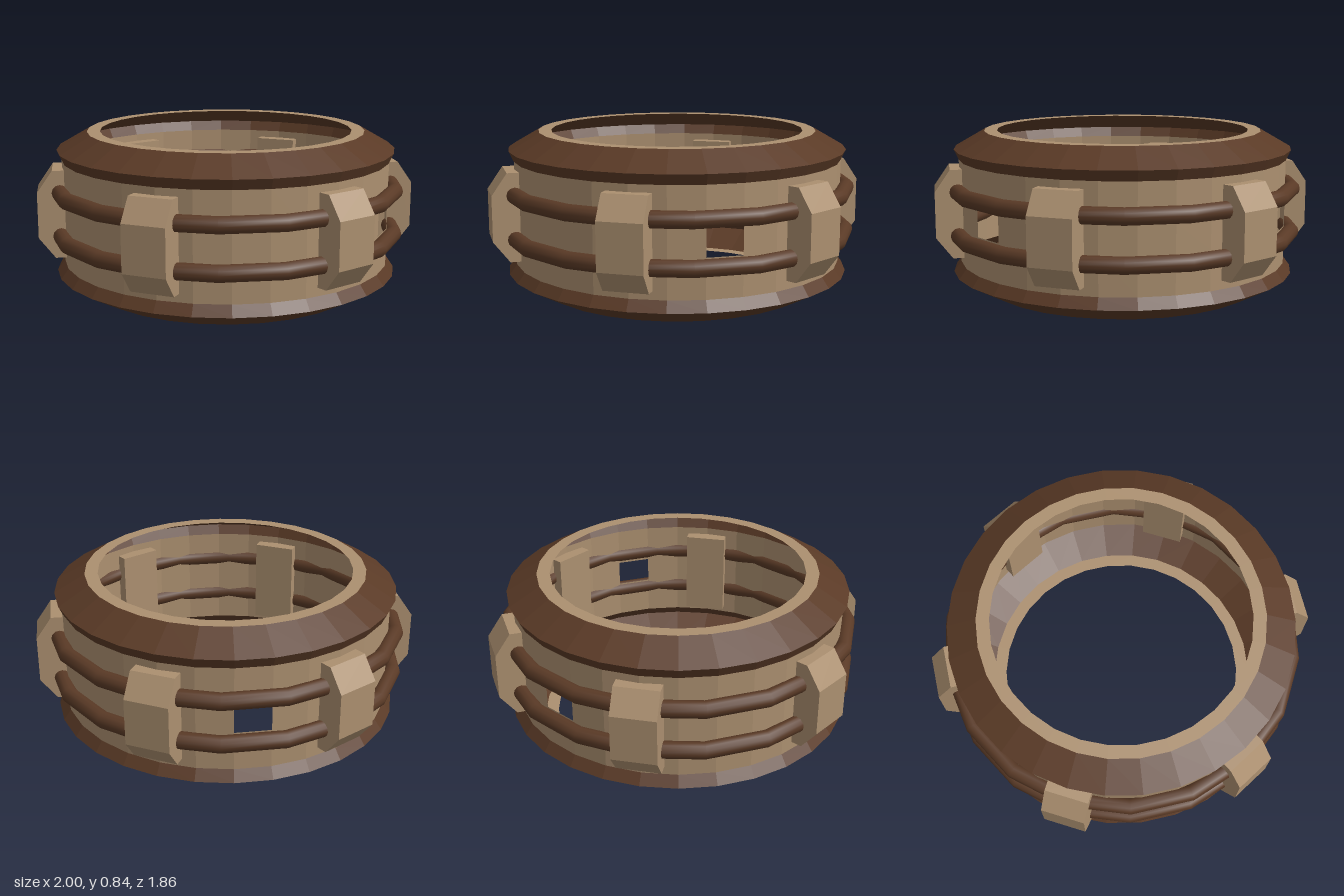
import * as THREE from 'three';

const SIDES = 30;
const STEP = (Math.PI * 2) / SIDES;
const WALL_R = 0.87;

export function createModel() {
  const tan = new THREE.MeshStandardMaterial({ color: 0xac9070, side: THREE.DoubleSide, flatShading: true });
  tan.name = 'tan';
  const brown = new THREE.MeshStandardMaterial({ color: 0x5a3a26, side: THREE.DoubleSide });
  brown.name = 'dark brown';

  const model = new THREE.Group();
  model.name = 'ring';

  const add = (name, geometry, material, parent = model) => {
    const mesh = new THREE.Mesh(geometry, material);
    mesh.name = name;
    parent.add(mesh);
    return mesh;
  };

  // Faceted band turned around y; start and count are in sides, offset so a corner lies on the x axis
  const band = (name, profile, material, start = 0, count = SIDES) => {
    const points = profile.map(([r, y]) => new THREE.Vector2(r, y));
    const geometry = new THREE.LatheGeometry(points, count, STEP * (start + 0.5), STEP * count).toNonIndexed();
    geometry.computeVertexNormals();
    return add(name, geometry, material);
  };

  // Thin wall, with two square openings towards the back
  band('lowerWall', [[WALL_R, 0.147], [WALL_R, 0.35]], tan);
  band('upperWall', [[WALL_R, 0.49], [WALL_R, 0.693]], tan);
  band('backWall', [[WALL_R, 0.35], [WALL_R, 0.49]], tan, 10, 9);
  band('frontWall', [[WALL_R, 0.35], [WALL_R, 0.49]], tan, 20, 19);

  // Flared rims and the flat lips inside them
  band('bottomRim', [[0.735, 0], [0.91, 0.094], [WALL_R, 0.147]], brown);
  band('topRim', [[WALL_R, 0.693], [0.895, 0.746], [0.735, 0.838]], brown);
  band('bottomLip', [[0.667, 0], [0.735, 0]], tan);
  band('topLip', [[0.735, 0.838], [0.667, 0.838]], tan);

  // Two rails running around the wall
  for (const [name, y] of [['lowerRail', 0.307], ['upperRail', 0.537]]) {
    const rail = add(name, new THREE.TorusGeometry(0.902, 0.043, 12, 18), brown);
    rail.rotation.x = Math.PI / 2;
    rail.position.y = y;
  }

  // Six chamfered blocks through the wall
  const shape = new THREE.Shape([
    [0.8, 0.19], [0.915, 0.19], [1, 0.3], [1, 0.54], [0.92, 0.655], [0.8, 0.655],
  ].map(([x, y]) => new THREE.Vector2(x, y)));
  const blockGeometry = new THREE.ExtrudeGeometry(shape, { depth: 0.226, bevelEnabled: false });
  blockGeometry.translate(0, 0, -0.113);
  const blocks = new THREE.Group();
  blocks.name = 'blocks';
  model.add(blocks);
  for (let i = 0; i < 6; i++) {
    add('block', blockGeometry, tan, blocks).rotation.y = (i * Math.PI) / 3;
  }

  return model;
}
